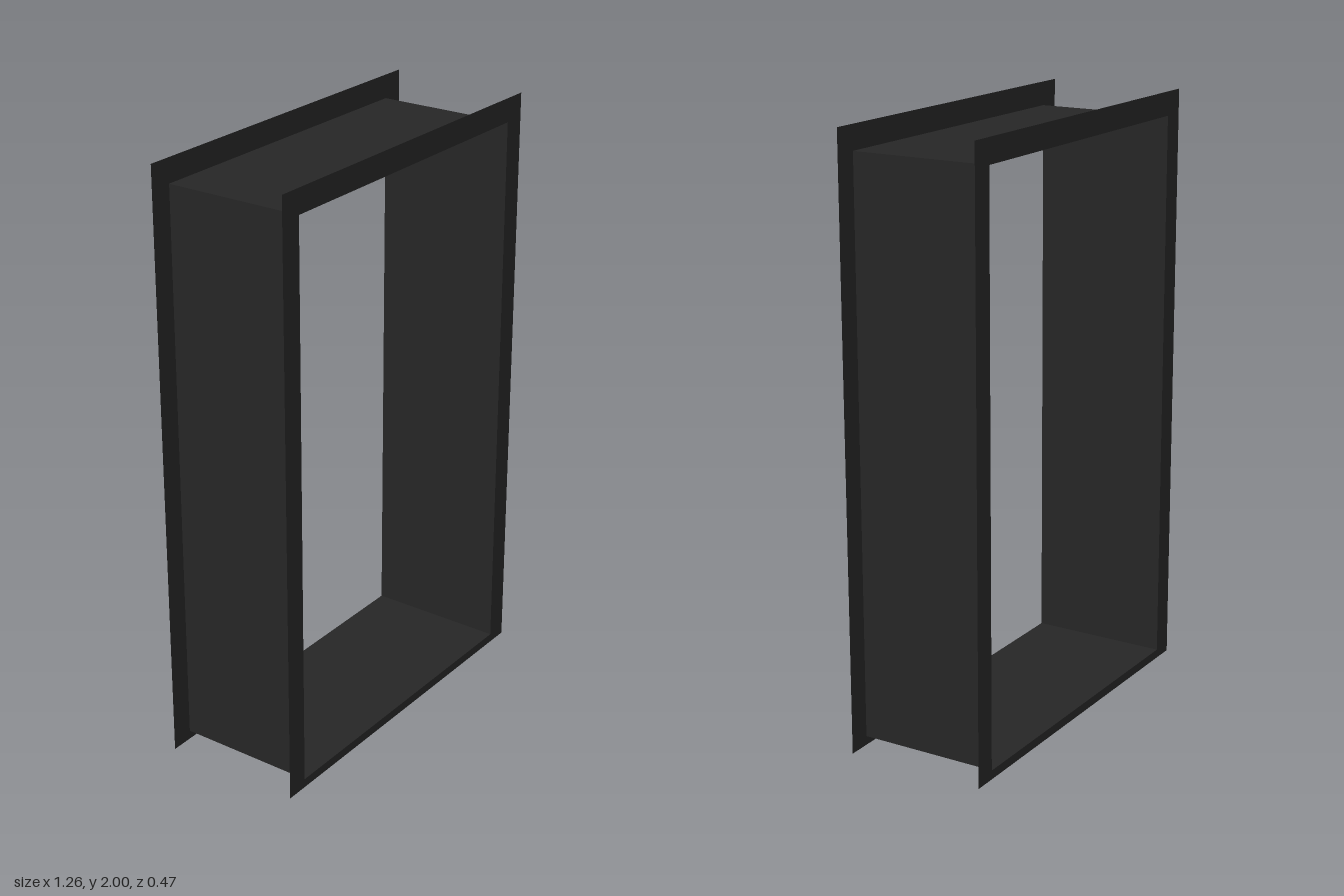
import * as THREE from 'three';

// Sheet-metal frame: a rectangular tunnel with a flat flange at each end
const OUTER = { x: 0.63, y0: 0, y1: 2 };
const INNER = { x: 0.553, y0: 0.03, y1: 1.92 };
const HALF_DEPTH = 0.237;

function rectangle(PathType, { x, y0, y1 }) {
  return new PathType([
    new THREE.Vector2(-x, y0), new THREE.Vector2(x, y0),
    new THREE.Vector2(x, y1), new THREE.Vector2(-x, y1),
  ]);
}

export function createModel() {
  const group = new THREE.Group();
  group.name = 'openingFrame';
  const material = new THREE.MeshStandardMaterial({ color: 0x262626, side: THREE.DoubleSide });

  const add = (name, geometry) => {
    const mesh = new THREE.Mesh(geometry, material);
    mesh.name = name;
    group.add(mesh);
    return mesh;
  };

  // Flanges around both openings, each facing outwards
  const flangeShape = rectangle(THREE.Shape, OUTER);
  flangeShape.holes.push(rectangle(THREE.Path, INNER));
  for (const [name, side] of [['frontFlange', 1], ['backFlange', -1]]) {
    const flange = add(name, new THREE.ShapeGeometry(flangeShape));
    flange.position.z = side * HALF_DEPTH;
    if (side < 0) flange.rotation.y = Math.PI;
  }

  // Side walls of the tunnel
  const height = INNER.y1 - INNER.y0;
  for (const [name, side] of [['leftWall', 1], ['rightWall', -1]]) {
    const wall = add(name, new THREE.PlaneGeometry(HALF_DEPTH * 2, height));
    wall.rotation.y = side * Math.PI / 2;
    wall.position.set(side * INNER.x, INNER.y0 + height / 2, 0);
  }

  // Top and bottom panels of the tunnel
  for (const [name, y, side] of [['topPanel', INNER.y1, -1], ['bottomPanel', INNER.y0, 1]]) {
    const panel = add(name, new THREE.PlaneGeometry(INNER.x * 2, HALF_DEPTH * 2));
    panel.rotation.x = side * Math.PI / 2;
    panel.position.y = y;
  }

  return group;
}
